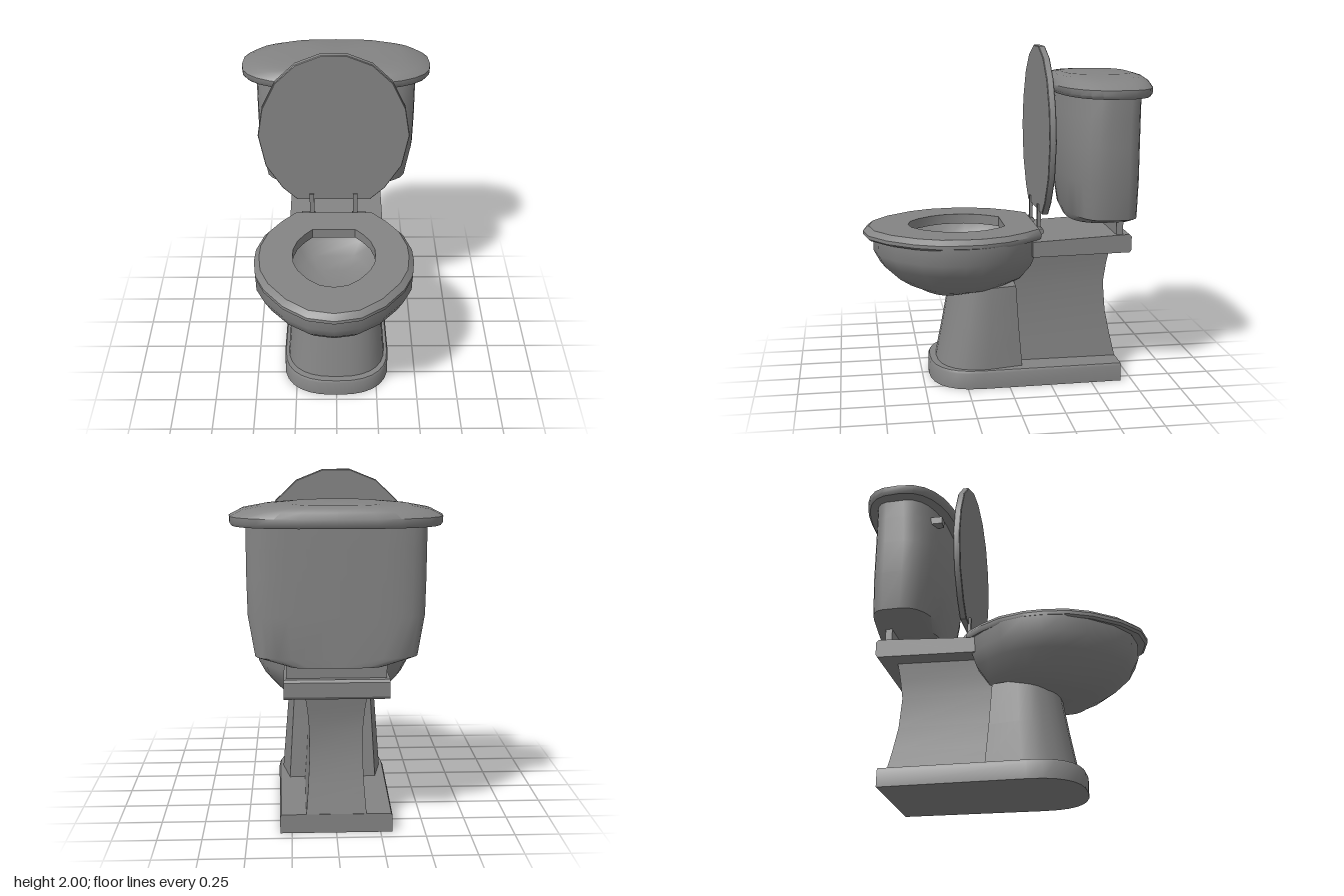
import * as THREE from 'three';
import { toCreasedNormals } from 'three/addons/utils/BufferGeometryUtils.js';

const material = new THREE.MeshStandardMaterial({ color: 0x848484 });

// Right half of the egg outline of seat and bowl: [x, z] from front to back.
const EGG = [[0, 0.83], [0.15, 0.8], [0.285, 0.7], [0.4, 0.55], [0.455, 0.42], [0.47, 0.28],
  [0.465, 0.17], [0.42, 0.02], [0.34, -0.1], [0.25, -0.2]];

// Mirrors a half outline (front to back) to a closed ring at height y.
function mirrorRing(half, y, cx = 0) {
  const other = half.filter(([x]) => x > 1e-4).reverse().map(([x, z]) => [-x, z]);
  return [...half, ...other].map(([x, z]) => new THREE.Vector3(x + cx, y, z));
}

// Egg ring with half width w between zFront and zBack.
function eggRing(y, w, zFront, zBack) {
  const half = EGG.map(([x, z]) => [x / 0.47 * w, zBack + (z + 0.2) / 1.03 * (zFront - zBack)]);
  return mirrorRing(half, y, -0.015);
}

// Rounded ring; a higher backPower makes the back corners squarer.
function tankRing(y, w, zFront, zBack, backPower) {
  const half = [], c = (zFront + zBack) / 2, d = (zFront - zBack) / 2;
  for (let i = 0; i <= 14; i++) {
    const t = i / 14 * Math.PI, n = i < 7 ? 2.5 : backPower;
    const s = Math.sin(t), k = Math.cos(t);
    half.push([w * Math.pow(Math.max(s, 0), 2 / n), c + d * Math.sign(k) * Math.pow(Math.abs(k), 2 / n)]);
  }
  half[14][0] = 0;
  return mirrorRing(half, y);
}

// Rounded front that starts at zCurve, sides narrowing by taper to a square back.
function footRing(y, w, zFront, zCurve, zBack, taper) {
  const half = [];
  for (let i = 0; i <= 7; i++) {
    const t = i / 7 * Math.PI / 2;
    half.push([w * Math.pow(Math.sin(t), 0.8),
      zCurve + (zFront - zCurve) * Math.pow(Math.max(Math.cos(t), 0), 0.8)]);
  }
  half.push([w * taper, zBack]);
  return mirrorRing(half, y);
}

// Skins rings of equal length; the ends are capped unless the rings form a loop.
function loft(rings, capped = true, crease = 0.7) {
  const n = rings[0].length, pos = [];
  const tri = (...pts) => pts.forEach((p) => pos.push(p.x, p.y, p.z));
  for (let i = 0; i < rings.length - 1; i++) {
    for (let j = 0; j < n; j++) {
      const k = (j + 1) % n;
      const a = rings[i][j], b = rings[i][k], c = rings[i + 1][k], d = rings[i + 1][j];
      tri(a, b, c);
      tri(a, c, d);
    }
  }
  if (capped) {
    const centre = (r) => r.reduce((s, p) => s.add(p), new THREE.Vector3()).divideScalar(n);
    const first = rings[0], last = rings[rings.length - 1];
    const c0 = centre(first), c1 = centre(last);
    for (let j = 0; j < n; j++) {
      const k = (j + 1) % n;
      tri(c0, first[k], first[j]);
      tri(c1, last[j], last[k]);
    }
  }
  const g = new THREE.BufferGeometry();
  g.setAttribute('position', new THREE.Float32BufferAttribute(pos, 3));
  return toCreasedNormals(g, crease);
}

export function createModel() {
  const model = new THREE.Group();
  const add = (name, geometry, x = 0, y = 0, z = 0) => {
    const mesh = new THREE.Mesh(geometry, material);
    mesh.name = name;
    mesh.position.set(x, y, z);
    model.add(mesh);
  };

  // Foot plate and front pedestal
  add('footPlate', loft([
    footRing(0, 0.33, 0.46, 0.16, -0.68, 0.96),
    footRing(0.095, 0.33, 0.46, 0.16, -0.68, 0.96),
    footRing(0.11, 0.322, 0.452, 0.16, -0.68, 0.96),
  ]));
  add('pedestal', loft([
    footRing(0.1, 0.305, 0.415, 0.13, -0.085, 0.86),
    footRing(0.35, 0.285, 0.365, 0.11, -0.065, 0.87),
    footRing(0.6, 0.265, 0.32, 0.1, -0.05, 0.88),
  ]));

  // Waisted rear column: [y, half width, back z]
  const column = [[0.1, 0.17, -0.68], [0.25, 0.158, -0.645], [0.4, 0.15, -0.615],
    [0.58, 0.15, -0.6], [0.7, 0.16, -0.615], [0.8, 0.175, -0.632]];
  add('rearColumn', loft(column.map(([y, w, z]) => mirrorRing([[w, -0.05], [w, z]], y))));

  // Bowl: outside upwards, under the seat, then down the shallow inside
  add('bowl', loft([
    eggRing(0.55, 0.22, 0.5, 0.2),
    eggRing(0.585, 0.3, 0.58, 0.0),
    eggRing(0.63, 0.355, 0.65, -0.08),
    eggRing(0.715, 0.43, 0.74, -0.14),
    eggRing(0.79, 0.47, 0.78, -0.165),
    eggRing(0.89, 0.473, 0.78, -0.17),
    eggRing(0.89, 0.34, 0.67, -0.09),
    eggRing(0.82, 0.3, 0.625, -0.05),
    eggRing(0.76, 0.23, 0.545, 0.03),
    eggRing(0.725, 0.14, 0.44, 0.13),
    eggRing(0.715, 0.06, 0.35, 0.22),
  ], true, 1.2));

  // Seat ring with a chamfered upper edge
  const seatBottom = eggRing(0.88, 0.462, 0.825, -0.195);
  add('seat', loft([
    seatBottom,
    eggRing(0.892, 0.472, 0.84, -0.2),
    eggRing(0.912, 0.472, 0.84, -0.2),
    eggRing(0.94, 0.442, 0.805, -0.188),
    eggRing(0.94, 0.245, 0.57, 0),
    eggRing(0.88, 0.245, 0.57, 0),
    seatBottom,
  ], false, 0.65));

  // Raised seat cover: right half outline [x, y], mirrored
  const cover = [[0.075, 2], [0.225, 1.94], [0.345, 1.825], [0.425, 1.66], [0.455, 1.48],
    [0.415, 1.27], [0.315, 1.11], [0.225, 1.025]];
  const outline = [...cover, ...cover.map(([x, y]) => [-x, y]).reverse()];
  const shape = new THREE.Shape(outline.map(([x, y]) => new THREE.Vector2(x, y)));
  add('seatCover', toCreasedNormals(new THREE.ExtrudeGeometry(shape, {
    depth: 0.032, bevelThickness: 0.004, bevelSize: 0.004, bevelOffset: -0.004, bevelSegments: 1,
  }), 0.6), -0.015, 0, -0.241);

  // Hinges: an upright prong and a short pin each
  for (const side of [-1, 1]) {
    add('hingeProng', new THREE.BoxGeometry(0.028, 0.16, 0.02), -0.016 + side * 0.135, 0.99, -0.205);
    const pin = new THREE.CylinderGeometry(0.018, 0.018, 0.085, 10).rotateZ(Math.PI / 2);
    add('hingePin', pin, -0.016 + side * 0.158, 0.915, -0.208);
  }

  // Sloping shelf under the tank, drawn in side view and extruded across
  const shelf = new THREE.Shape([[0.14, 0.785], [0.725, 0.795], [0.735, 0.81], [0.735, 0.89],
    [0.722, 0.904], [0.68, 0.903], [0.14, 0.877]].map(([x, y]) => new THREE.Vector2(x, y)));
  const shelfGeometry = new THREE.ExtrudeGeometry(shelf, { depth: 0.58, bevelEnabled: false });
  add('tankShelf', shelfGeometry.translate(0, 0, -0.29).rotateY(Math.PI / 2));
  add('tankSupport', new THREE.BoxGeometry(0.55, 0.1, 0.04), 0, 0.94, -0.665);

  // Tank
  add('tank', loft([
    tankRing(0.975, 0.27, -0.39, -0.755, 5),
    tankRing(1.025, 0.445, -0.37, -0.755, 5),
    tankRing(1.25, 0.483, -0.337, -0.755, 5),
    tankRing(1.45, 0.487, -0.326, -0.755, 5),
    tankRing(1.62, 0.487, -0.34, -0.755, 5),
    tankRing(1.75, 0.487, -0.36, -0.755, 5),
  ]));

  // Domed tank lid
  add('tankLid', loft([
    tankRing(1.732, 0.562, -0.3, -0.825, 3),
    tankRing(1.75, 0.574, -0.282, -0.838, 3),
    tankRing(1.782, 0.574, -0.278, -0.84, 3),
    tankRing(1.815, 0.51, -0.297, -0.822, 3),
    tankRing(1.835, 0.4, -0.32, -0.8, 3),
    tankRing(1.846, 0.25, -0.36, -0.76, 3),
  ]));

  // Small flush lever at the front of the tank
  add('flushLever', new THREE.BoxGeometry(0.06, 0.045, 0.07), -0.36, 1.63, -0.37);

  return model;
}
